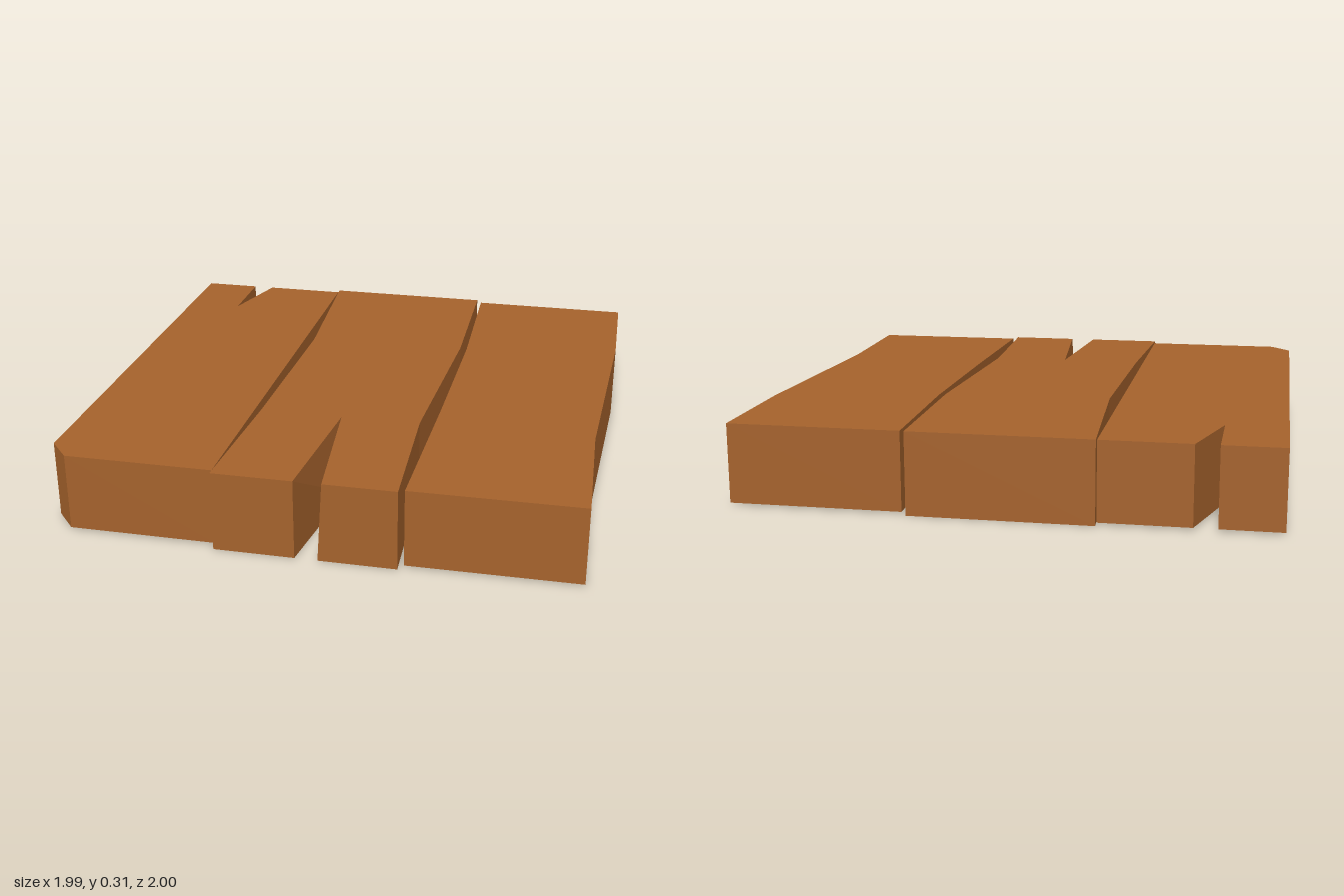
import * as THREE from 'three';

// Extrudes an [x, z] outline upward from y0 to y1
function plank(name, outline, y0, y1, material) {
  const shape = new THREE.Shape(outline.map(([x, z]) => new THREE.Vector2(x, -z)));
  const geometry = new THREE.ExtrudeGeometry(shape, { depth: y1 - y0, bevelEnabled: false });
  geometry.rotateX(-Math.PI / 2);
  geometry.translate(0, y0, 0);
  const mesh = new THREE.Mesh(geometry, material);
  mesh.name = name;
  return mesh;
}

// Moves the lower end of one vertical edge, so that its walls lean
function moveBottomCorner(mesh, from, to, y0) {
  const p = mesh.geometry.attributes.position;
  for (let i = 0; i < p.count; i++) {
    if (Math.abs(p.getY(i) - y0) < 1e-4 && Math.hypot(p.getX(i) - from[0], p.getZ(i) - from[1]) < 1e-4) {
      p.setXYZ(i, to[0], y0, to[1]);
    }
  }
}

export function createModel() {
  const group = new THREE.Group();
  group.name = 'woodenPlanks';
  const wood = new THREE.MeshStandardMaterial({ color: 0xa5622c });
  wood.name = 'brown wood';

  // Right plank: notch at the back, clipped front corner
  const right = plank('rightPlank', [
    [-0.997, -0.985], [-0.77, -0.985], [-0.77, -0.69], [-0.685, -0.985], [-0.353, -0.985],
    [-0.353, 0.97], [-0.91, 0.97], [-0.99, 0.88],
  ], 0.008, 0.302, wood);

  // Middle plank: wavy sides, split at the front
  const middle = plank('middlePlank', [
    [-0.351, -1], [0.323, -1], [0.335, -0.37], [0.298, 0.43], [0.323, 1],
    [0.053, 1], [-0.005, 0.44], [-0.05, 1], [-0.351, 1], [-0.325, 0.43], [-0.31, -0.34],
  ], 0, 0.306, wood);
  moveBottomCorner(middle, [-0.005, 0.44], [0.02, 0.47], 0);
  moveBottomCorner(middle, [0.053, 1], [0.035, 1], 0);

  // Left plank: gently wavy sides
  const left = plank('leftPlank', [
    [0.343, -0.98], [0.985, -0.98], [0.993, -0.5], [0.957, 0.43], [0.974, 0.975],
    [0.343, 0.98], [0.356, 0.3], [0.362, -0.37],
  ], 0.007, 0.302, wood);

  // Flat facets after the corner shifts
  for (const mesh of [right, middle, left]) {
    mesh.geometry.computeVertexNormals();
    group.add(mesh);
  }
  return group;
}
